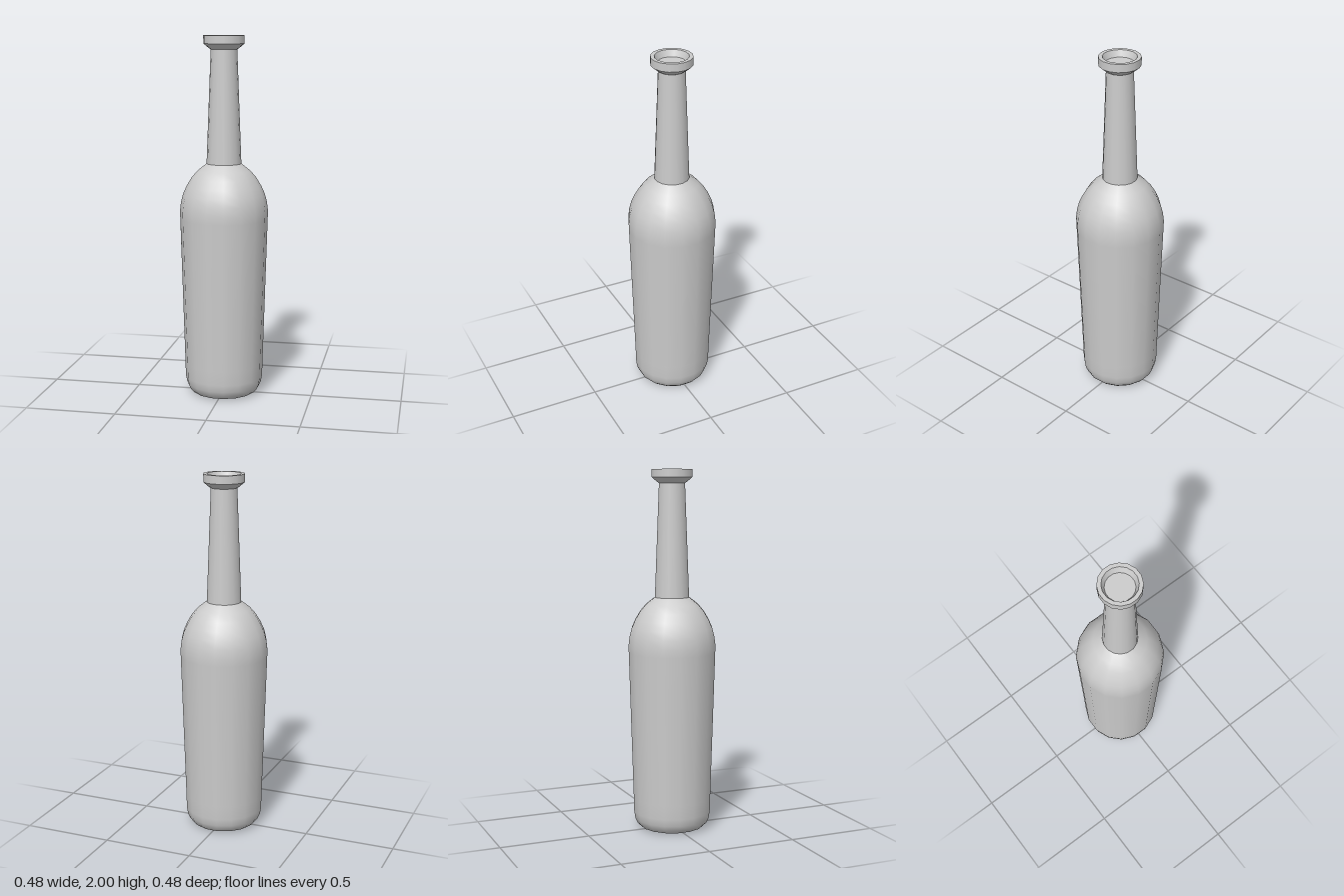
import * as THREE from 'three';

const SIDES = 16;
const START = THREE.MathUtils.degToRad(10.5); // turn of the sixteen-sided section

export function createModel() {
  const group = new THREE.Group();
  group.name = 'bottle';
  const material = new THREE.MeshStandardMaterial({ color: 0xcccccc });

  // Each part is one smooth band, so the joins between parts stay crisp
  const turn = (name, points) => {
    const profile = points.map(([r, y]) => new THREE.Vector2(r, y));
    const mesh = new THREE.Mesh(new THREE.LatheGeometry(profile, SIDES, START), material);
    mesh.name = name;
    group.add(mesh);
  };

  // Flat underside and rounded heel
  turn('base', [[0, 0], [0.152, 0]]);
  turn('heel', [[0.152, 0], [0.178, 0.008], [0.197, 0.027], [0.21, 0.055], [0.217, 0.095], [0.219, 0.18]]);

  // Body widens slightly upwards
  turn('body', [[0.219, 0.18], [0.243, 1.0]]);

  // Domed shoulder
  turn('shoulder', [
    [0.243, 1.0], [0.244, 1.04], [0.238, 1.09], [0.226, 1.135],
    [0.206, 1.18], [0.179, 1.225], [0.146, 1.264], [0.094, 1.305],
  ]);

  // Tapered neck
  turn('neck', [[0.096, 1.3], [0.072, 1.93]]);

  // Flared lip: underside, band, rim and inner wall
  turn('lipUnderside', [[0.072, 1.925], [0.082, 1.931], [0.112, 1.956]]);
  turn('lipBand', [[0.112, 1.956], [0.112, 2]]);
  turn('lipRim', [[0.112, 2], [0.091, 2]]);
  turn('lipInside', [[0.091, 2], [0.076, 1.965]]);

  // Flat stop inside the mouth
  turn('mouthFloor', [[0.076, 1.965], [0, 1.965]]);

  return group;
}
